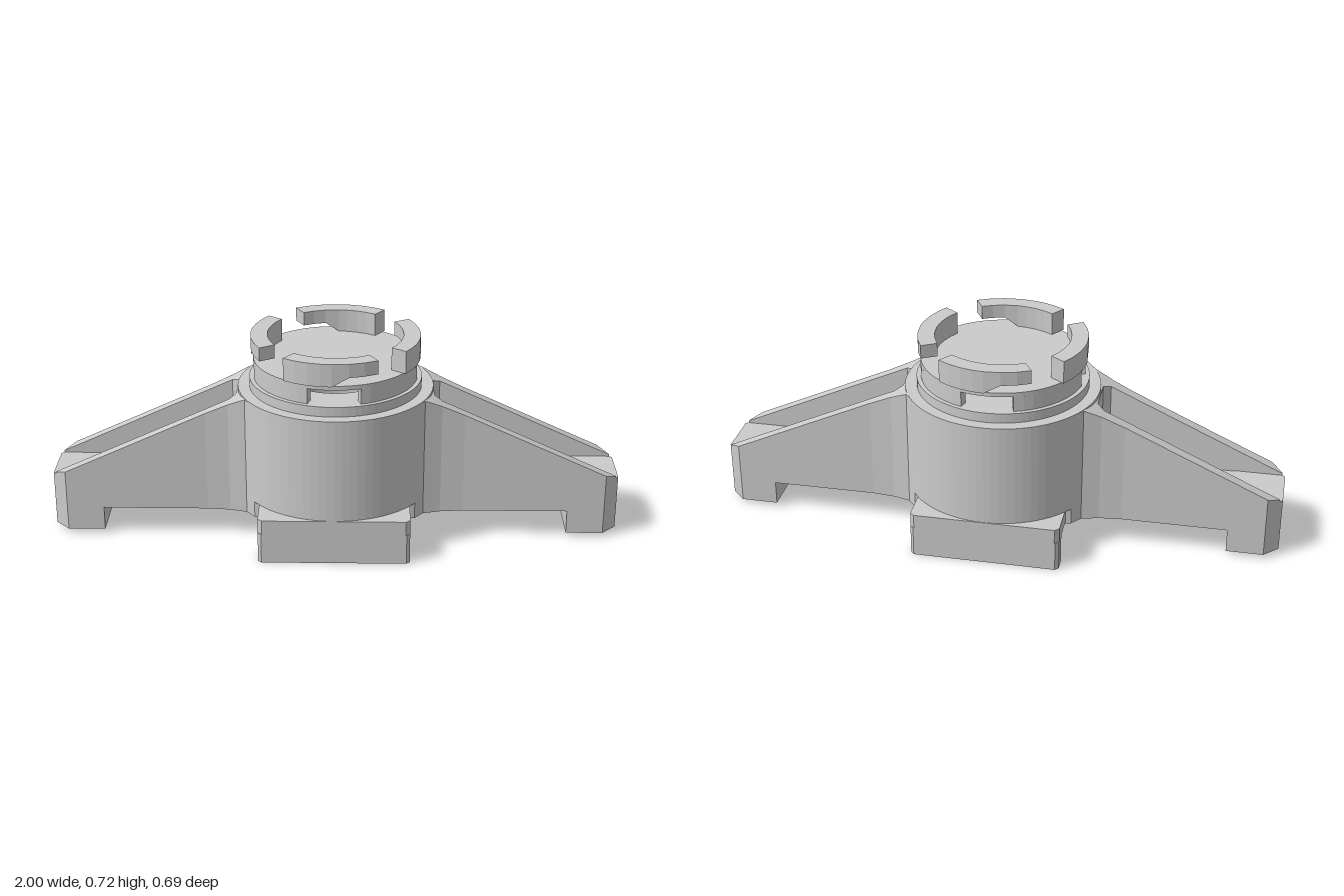
import * as THREE from 'three';

const mat = new THREE.MeshStandardMaterial({ color: 0xcccccc, flatShading: true });

function add(parent, name, geometry) {
  const mesh = new THREE.Mesh(geometry, mat);
  mesh.name = name;
  parent.add(mesh);
  return mesh;
}

// Plan outline extruded upwards from y0 to y1
function prism(shape, y0, y1, curveSegments = 40) {
  const g = new THREE.ExtrudeGeometry(shape, { depth: y1 - y0, bevelEnabled: false, curveSegments });
  return g.rotateX(-Math.PI / 2).translate(0, y0, 0);
}

function disc(r, hole = 0) {
  const s = new THREE.Shape().absarc(0, 0, r, 0, Math.PI * 2);
  if (hole) s.holes.push(new THREE.Path().absarc(0, 0, hole, 0, Math.PI * 2, true));
  return s;
}

// Rectangle with cut corners
function plate(x0, x1, z0, z1, c = 0) {
  const p = [[x0 + c, z0], [x1 - c, z0], [x1, z0 + c], [x1, z1 - c],
    [x1 - c, z1], [x0 + c, z1], [x0, z1 - c], [x0, z0 + c]];
  const unique = c ? p : [p[0], p[1], p[3], p[5]];
  return new THREE.Shape(unique.map(([x, z]) => new THREE.Vector2(x, z)));
}

// Joins four-cornered sections and closes both ends
function loft(sections) {
  const pos = [];
  const quad = (a, b, c, d) => pos.push(...a, ...b, ...c, ...a, ...c, ...d);
  for (let k = 0; k < sections.length - 1; k++) {
    const s = sections[k], t = sections[k + 1];
    for (let i = 0; i < 4; i++) quad(s[i], s[(i + 1) % 4], t[(i + 1) % 4], t[i]);
  }
  const [a, b, c, d] = sections[0];
  quad(a, d, c, b);
  quad(...sections[sections.length - 1]);
  const g = new THREE.BufferGeometry();
  g.setAttribute('position', new THREE.Float32BufferAttribute(pos, 3));
  g.computeVertexNormals();
  return g;
}

// Curved bar around the y axis; stations are [angle, bottom height]
function arcBar(r0, r1, top, stations) {
  return loft(stations.map(([a, bottom]) => {
    const p = (r, y) => [r * Math.sin(a), y, r * Math.cos(a)];
    return [p(r0, bottom), p(r0, top), p(r1, top), p(r1, bottom)];
  }));
}

const armTop = x => Math.min(0.529, 0.53 - (x - 0.31) * 0.457);

// Side wall of an arm: [x, inner z, outer z], with the fillet to the hub and the tapered tip
const wallStations = [
  [0.255, 0, 0.2], [0.28, 0, 0.195], [0.31, 0, 0.158], [0.345, 0, 0.148],
  [0.345, 0.065, 0.148], [0.37, 0.09, 0.141], [0.45, 0.09, 0.133],
  [0.82, 0.09, 0.133], [0.95, 0.09, 0.133], [0.99, 0.09, 0.093],
];

function createArm() {
  const arm = new THREE.Group();
  for (const side of [1, -1]) {
    add(arm, 'armWall', loft(wallStations.map(([x, zi, zo]) => {
      const [a, b] = side > 0 ? [zi, zo] : [-zo, -zi];
      const yb = 0.1, yt = armTop(x);
      return [[x, yb, a], [x, yt, a], [x, yt, b], [x, yb, b]];
    })));
  }
  // Trough floor with three screw holes
  const floor = plate(0.34, 0.83, -0.092, 0.092);
  for (const x of [0.37, 0.58, 0.79]) {
    floor.holes.push(new THREE.Path().absarc(x, 0, 0.014, 0, Math.PI * 2, true));
  }
  add(arm, 'troughFloor', prism(floor, 0.16, 0.21, 8));
  // Underside with a long slot
  const under = plate(0.34, 0.83, -0.092, 0.092);
  under.holes.push(new THREE.Path(plate(0.352, 0.815, -0.055, 0.055).getPoints().reverse()));
  add(arm, 'armUnderside', prism(under, 0.1, 0.16));
  // Foot with chamfered corners
  const foot = new THREE.Shape([[0.82, -0.133], [0.95, -0.133], [1, -0.082], [1, 0.082],
    [0.95, 0.133], [0.82, 0.133]].map(([x, z]) => new THREE.Vector2(x, z)));
  add(arm, 'armFoot', prism(foot, 0.015, 0.212));
  return arm;
}

export function createModel() {
  const model = new THREE.Group();
  model.name = 'hubMount';
  const bore = 0.18;

  // Hub and collar
  add(model, 'hub', prism(disc(0.343, bore), 0.16, 0.53));
  add(model, 'lowerCollar', prism(disc(0.302, bore), 0.53, 0.565));
  add(model, 'cap', prism(disc(0.287), 0.62, 0.635));

  // Collar wall, broken by a window on each of the four sides
  const wall = new THREE.Group();
  wall.name = 'collarWall';
  const half = Math.PI / 2, frontGap = 0.32, sideGap = 0.165, n = 9;
  for (let q = 0; q < 4; q++) {
    const a0 = q * half + (q % 2 ? sideGap : frontGap);
    const a1 = (q + 1) * half - (q % 2 ? frontGap : sideGap);
    const stations = [];
    for (let i = 0; i <= n; i++) stations.push([a0 + (a1 - a0) * i / n, 0.565]);
    add(wall, 'collarSegment', arcBar(0.255, 0.287, 0.621, stations));
  }
  model.add(wall);

  // Bayonet lugs: full-height body, ramp, then a raised tail
  const lugStations = [[-0.62, 0.635], [-0.47, 0.635], [-0.31, 0.635], [-0.16, 0.635],
    [-0.03, 0.635], [0.17, 0.667], [0.35, 0.667], [0.52, 0.667]];
  for (let i = 0; i < 4; i++) {
    add(model, 'lockingLug', arcBar(0.237, 0.296, 0.716, lugStations)).rotation.y = i * half;
  }

  // Base plate
  const base = plate(-0.262, 0.262, -0.345, 0.345, 0.015);
  base.holes.push(new THREE.Path().absarc(0, 0, bore, 0, Math.PI * 2, true));
  add(model, 'basePlate', prism(base, 0.108, 0.16));

  // Arms and hollow base legs, repeated on opposite sides
  for (let i = 0; i < 2; i++) {
    const arm = createArm();
    arm.name = i ? 'rightArm' : 'leftArm';
    arm.rotation.y = i * Math.PI;
    model.add(arm);

    const leg = plate(-0.262, 0.262, -0.345, -0.275, 0.012);
    leg.holes.push(new THREE.Path(plate(-0.235, 0.235, -0.328, -0.292).getPoints().reverse()));
    add(model, i ? 'backLeg' : 'frontLeg', prism(leg, 0, 0.108)).rotation.y = i * Math.PI;
  }
  return model;
}
